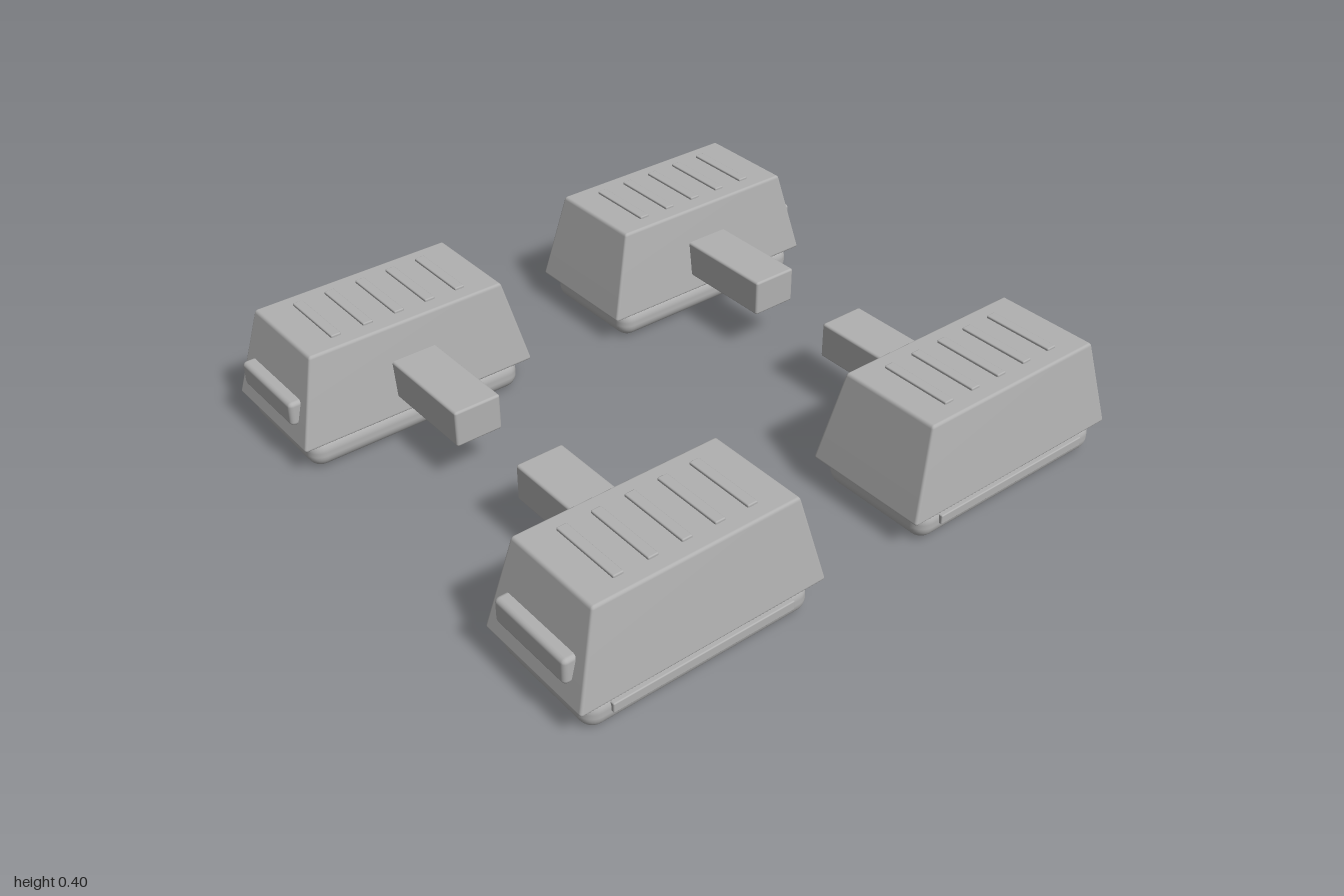
import * as THREE from 'three';
import { RoundedBoxGeometry } from 'three/addons/geometries/RoundedBoxGeometry.js';
import { mergeVertices } from 'three/addons/utils/BufferGeometryUtils.js';

const grey = new THREE.MeshStandardMaterial({ color: 0xb0b0b0 });
grey.name = 'grey';

// Box with rounded edges, placed by its centre
function block(name, size, pos, radius, segments = 2) {
  const mesh = new THREE.Mesh(new RoundedBoxGeometry(...size, segments, radius), grey);
  mesh.name = name;
  mesh.position.set(...pos);
  return mesh;
}

// Rounded box that narrows towards the top
function taperedBlock(name, size, pos, radius, topX, topZ) {
  const mesh = block(name, size, pos, radius);
  let geo = mesh.geometry;
  const p = geo.attributes.position;
  for (let i = 0; i < p.count; i++) {
    const t = p.getY(i) / size[1] + 0.5;
    p.setX(i, p.getX(i) * (1 + (topX - 1) * t));
    p.setZ(i, p.getZ(i) * (1 + (topZ - 1) * t));
  }
  geo.deleteAttribute('normal');
  geo.deleteAttribute('uv');
  geo = mergeVertices(geo, 1e-5);
  geo.computeVertexNormals();
  mesh.geometry = geo;
  return mesh;
}

// One corner pod; sx and sz give its side
function createPod(sx, sz) {
  const pod = new THREE.Group();
  pod.name = 'footPod';
  pod.position.set(sx * 0.692, 0, sz * 0.585);

  // Housing and the soft pad below it
  pod.add(taperedBlock('housing', [0.424, 0.295, 0.824], [0, 0.2425, 0], 0.01, 0.81, 0.82));
  pod.add(block('solePad', [0.4, 0.105, 0.755], [0, 0.0525, sz * 0.004], 0.046, 4));

  // Strip on the outer side of the pad
  pod.add(block('sideStrip', [0.03, 0.032, 0.61], [sx * 0.195, 0.064, sz * 0.004], 0.004));

  // Bumper on the outer end
  pod.add(block('endBumper', [0.305, 0.082, 0.06], [0, 0.201, sz * 0.385], 0.014));

  // Raised ribs across the roof
  for (let i = -2; i <= 2; i++) {
    pod.add(block('roofRib', [0.24, 0.02, 0.034], [0, 0.388, i * 0.109], 0.004));
  }

  // Arm reaching inwards
  pod.add(block('arm', [0.4, 0.122, 0.158], [sx * -0.337, 0.214, 0], 0.008));
  return pod;
}

export function createModel() {
  const model = new THREE.Group();
  model.name = 'fourFeet';
  for (const sx of [-1, 1]) {
    for (const sz of [-1, 1]) model.add(createPod(sx, sz));
  }
  return model;
}
